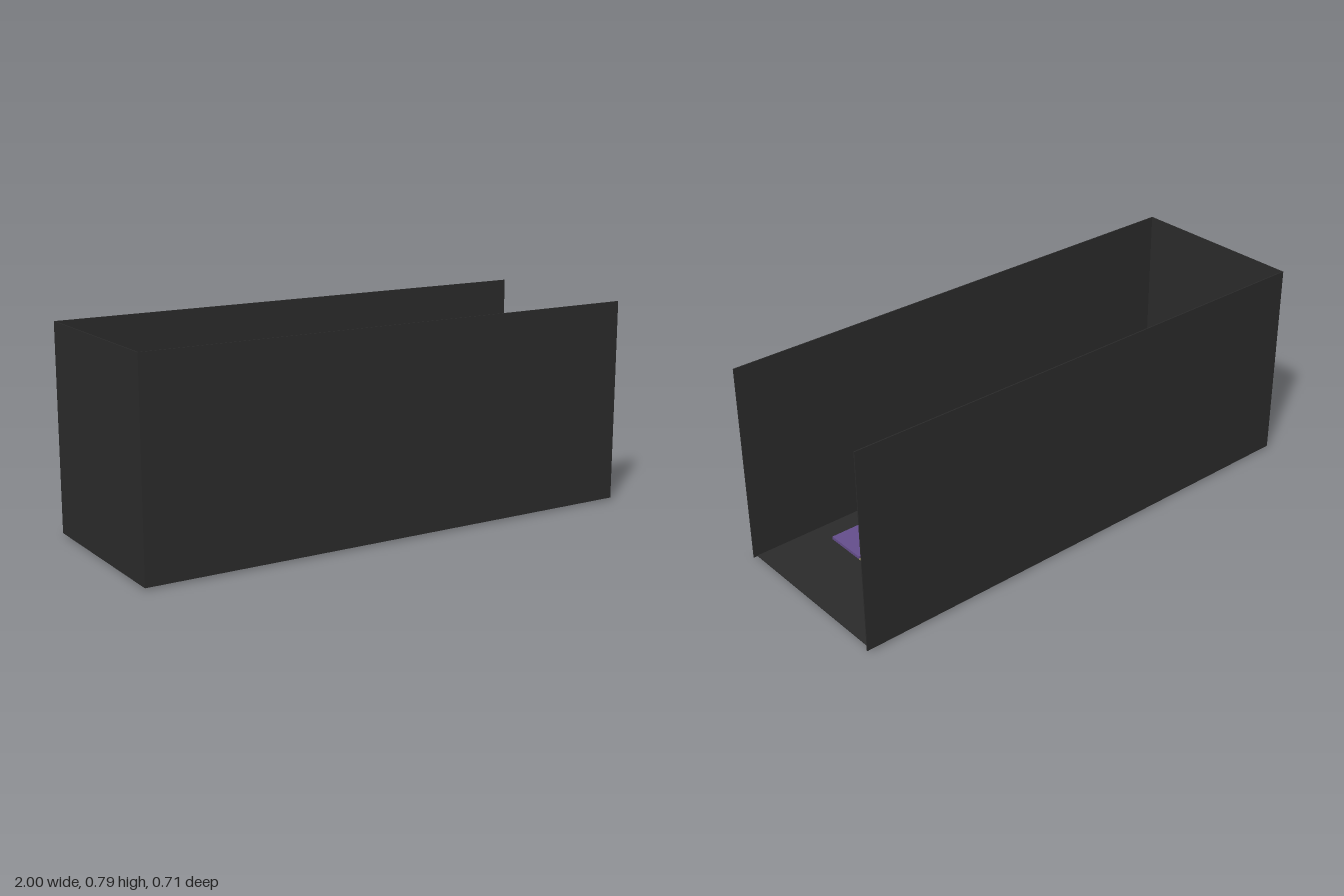
import * as THREE from 'three';

const mat = (color) => new THREE.MeshStandardMaterial({ color });

export function createModel() {
  const model = new THREE.Group();
  const dark = mat(0x2b2b2b), purple = mat(0x654e8c), yellow = mat(0xaaa06c);
  const grey = mat(0x949494), pink = mat(0x9b6070), knobGrey = mat(0x524c4c);

  // Box given by its min and max corners
  const box = (name, material, [x0, y0, z0], [x1, y1, z1], parent = model) => {
    const mesh = new THREE.Mesh(new THREE.BoxGeometry(x1 - x0, y1 - y0, z1 - z0), material);
    mesh.position.set((x0 + x1) / 2, (y0 + y1) / 2, (z0 + z1) / 2);
    mesh.name = name;
    parent.add(mesh);
  };

  // Room shell, open at the top and at +x
  box('floor', dark, [-1, 0.007, -0.351], [0.985, 0.01, 0.351]);
  box('leftSideWall', dark, [-1, 0.007, 0.349], [1, 0.787, 0.353]);
  box('rightSideWall', dark, [-1, 0.007, -0.353], [1, 0.787, -0.349]);
  box('endWall', dark, [-1, 0.007, -0.349], [-0.996, 0.787, 0.349]);

  // Checkered floor tiles, with differently coloured undersides
  const xs = [-0.89, -0.685, -0.485, -0.285, -0.085, 0.118, 0.317, 0.518, 0.72];
  const zs = [-0.265, -0.1, 0.088, 0.255];
  const tiles = new THREE.Group();
  tiles.name = 'checkeredTiles';
  model.add(tiles);
  for (let i = 0; i < 8; i++) {
    for (let j = 0; j < 3; j++) {
      const isYellow = (i + j) % 2 === 0;
      const top = isYellow ? 0.012 : 0.022;
      box('tile', isYellow ? yellow : purple, [xs[i], 0.001, zs[j]], [xs[i + 1], top, zs[j + 1]], tiles);
      box('tileUnderside', isYellow ? purple : grey, [xs[i], 0, zs[j]], [xs[i + 1], 0.001, zs[j + 1]], tiles);
    }
  }

  // Tapered door with a pointed top, standing against the end wall
  const outline = new THREE.Shape([
    [-0.119, 0.01], [0.111, 0.01], [0.087, 0.317], [-0.003, 0.368], [-0.095, 0.317],
  ].map(([z, y]) => new THREE.Vector2(z, y)));
  const doorGeometry = new THREE.ExtrudeGeometry(outline, { depth: 0.046, bevelEnabled: false });
  doorGeometry.rotateY(-Math.PI / 2);
  const door = new THREE.Mesh(doorGeometry, pink);
  door.position.x = -0.937;
  door.name = 'door';
  model.add(door);

  // Door knob
  const knob = new THREE.Mesh(new THREE.SphereGeometry(0.01, 20, 14), knobGrey);
  knob.position.set(-0.935, 0.159, 0.065);
  knob.name = 'doorKnob';
  model.add(knob);

  return model;
}
